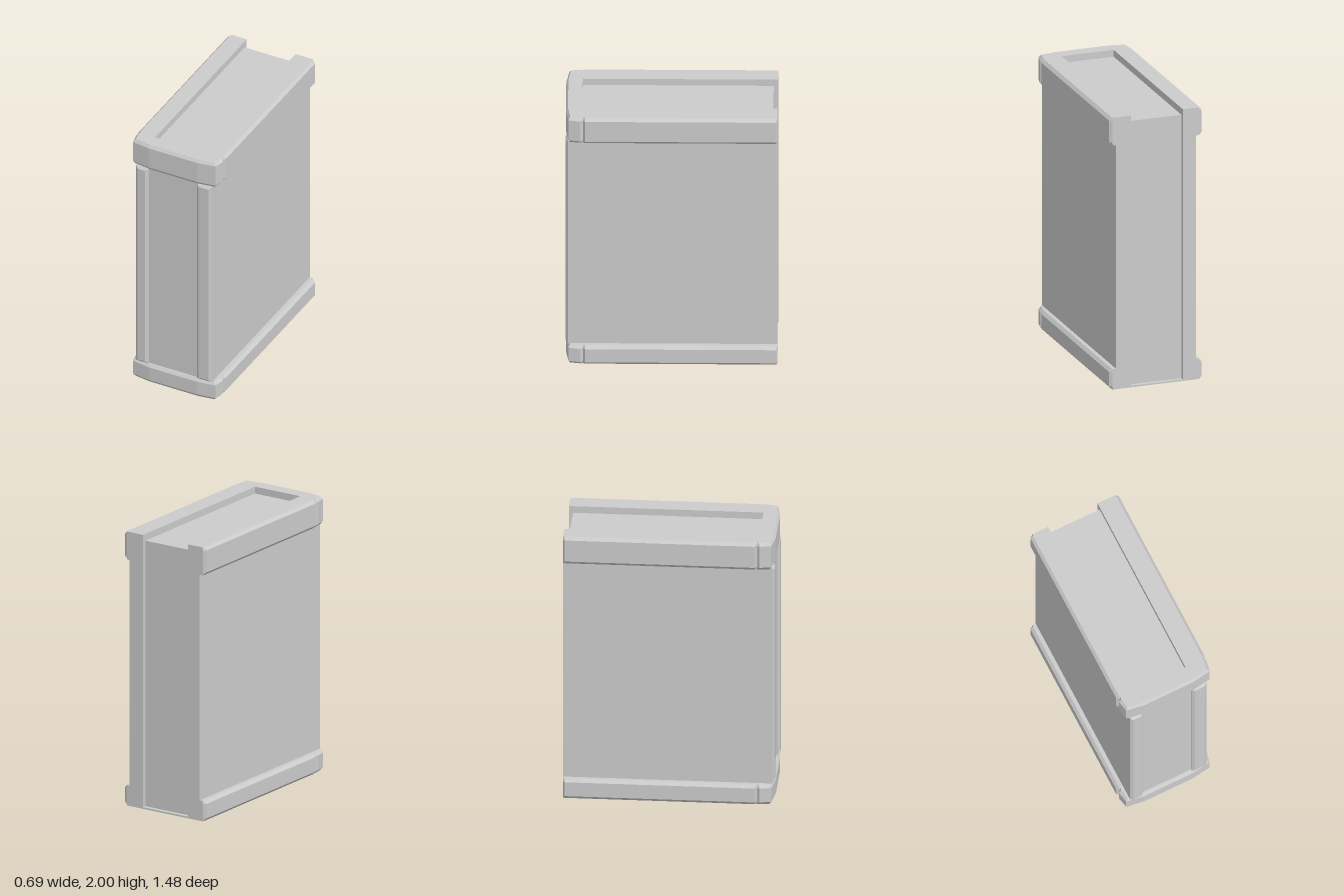
import * as THREE from 'three';

const NOTCH_L = -0.2, NOTCH_R = 0.185, BACK = -0.74, PANEL = -0.71;

// Half outline of a cap from front to back: [x, z, bevelled x, bevelled z]
const HALF = [
  [0.19, 0.735, 0.19, 0.72],
  [0.325, 0.715, 0.31, 0.703],
  [0.342, 0.635, 0.322, 0.63],
  [0.325, 0.615, 0.318, 0.615],
  [0.345, 0.6, 0.325, 0.6],
  [0.345, -0.727, 0.325, -0.727],
  [0.325, BACK, 0.32, BACK],
];

// Closed outline with a rear notch running forward to notchZ
function capOutline(notchZ, bevelled) {
  const k = bevelled ? 2 : 0;
  const right = HALF.map(p => [p[k], p[k + 1]]);
  const left = right.map(([x, z]) => [-x, z]).reverse();
  const notch = [[NOTCH_R, BACK], [NOTCH_R, notchZ], [NOTCH_L, notchZ], [NOTCH_L, BACK]];
  return [...right, ...notch, ...left];
}

// Stack matching outlines at rising heights and close both ends
function loft(rings) {
  const n = rings[0].pts.length, pos = [], index = [];
  for (const { y, pts } of rings) for (const [x, z] of pts) pos.push(x, y, z);
  for (let r = 0; r < rings.length - 1; r++) {
    for (let i = 0; i < n; i++) {
      const j = (i + 1) % n, a = r * n + i, b = r * n + j;
      index.push(a, b, b + n, a, b + n, a + n);
    }
  }
  const ends = (ring, flip) => {
    const flat = rings[ring].pts.map(([x, z]) => new THREE.Vector2(x, -z));
    for (const [a, b, c] of THREE.ShapeUtils.triangulateShape(flat, [])) {
      const o = ring * n;
      if (flip) index.push(o + a, o + c, o + b);
      else index.push(o + a, o + b, o + c);
    }
  };
  ends(0, true);
  ends(rings.length - 1, false);
  const g = new THREE.BufferGeometry();
  g.setAttribute('position', new THREE.Float32BufferAttribute(pos, 3));
  g.setIndex(index);
  const out = g.toNonIndexed();
  out.computeVertexNormals();
  return out;
}

// Cap with chamfered upper and lower rims
function capGeometry(y0, y1, notchZ) {
  const outer = capOutline(notchZ, false), inner = capOutline(notchZ, true), c = 0.022;
  return loft([
    { y: y0, pts: inner },
    { y: y0 + c, pts: outer },
    { y: y1 - c, pts: outer },
    { y: y1, pts: inner },
  ]);
}

// Box given by its limits
function block(x0, x1, y0, y1, z0, z1) {
  return new THREE.BoxGeometry(x1 - x0, y1 - y0, z1 - z0)
    .translate((x0 + x1) / 2, (y0 + y1) / 2, (z0 + z1) / 2);
}

// Upright front strip with chamfered edges
function pillarGeometry(x0, x1, y0, y1) {
  const s = new THREE.Shape();
  s.moveTo(x0, y0).lineTo(x1, y0).lineTo(x1, y1).lineTo(x0, y1).closePath();
  return new THREE.ExtrudeGeometry(s, {
    depth: 0.025, bevelEnabled: true, bevelSegments: 1,
    bevelThickness: 0.015, bevelSize: 0.018, bevelOffset: -0.018,
  }).translate(0, 0, 0.695);
}

export function createModel() {
  const group = new THREE.Group();
  const material = new THREE.MeshStandardMaterial({ color: 0xcccccc, flatShading: true });
  const add = (name, geometry) => {
    const mesh = new THREE.Mesh(geometry, material);
    mesh.name = name;
    group.add(mesh);
  };

  // Case body with a shallow channel up its back
  const W = 0.297;
  const body = [
    [-W, 0.71], [W, 0.71], [W, BACK], [NOTCH_R, BACK],
    [NOTCH_R, PANEL], [NOTCH_L, PANEL], [NOTCH_L, BACK], [-W, BACK],
  ];
  add('body', loft([{ y: 0.13, pts: body }, { y: 1.82, pts: body }]));

  // Front strips beside the recessed front panel
  add('frontPillarRight', pillarGeometry(-W, -0.2, 0.15, 1.797));
  add('frontPillarLeft', pillarGeometry(0.182, W, 0.15, 1.797));

  // Top cap: a rim open to the back around a sunken floor
  add('topCap', capGeometry(1.795, 2, 0.62));
  add('topFloor', block(NOTCH_L, NOTCH_R, 1.8, 1.95, PANEL, 0.62));

  // Bottom cap and the low ledge closing its rear channel
  add('bottomCap', capGeometry(0, 0.15, PANEL));
  add('rearLedge', block(NOTCH_L, NOTCH_R, 0, 0.012, BACK, PANEL));

  return group;
}
